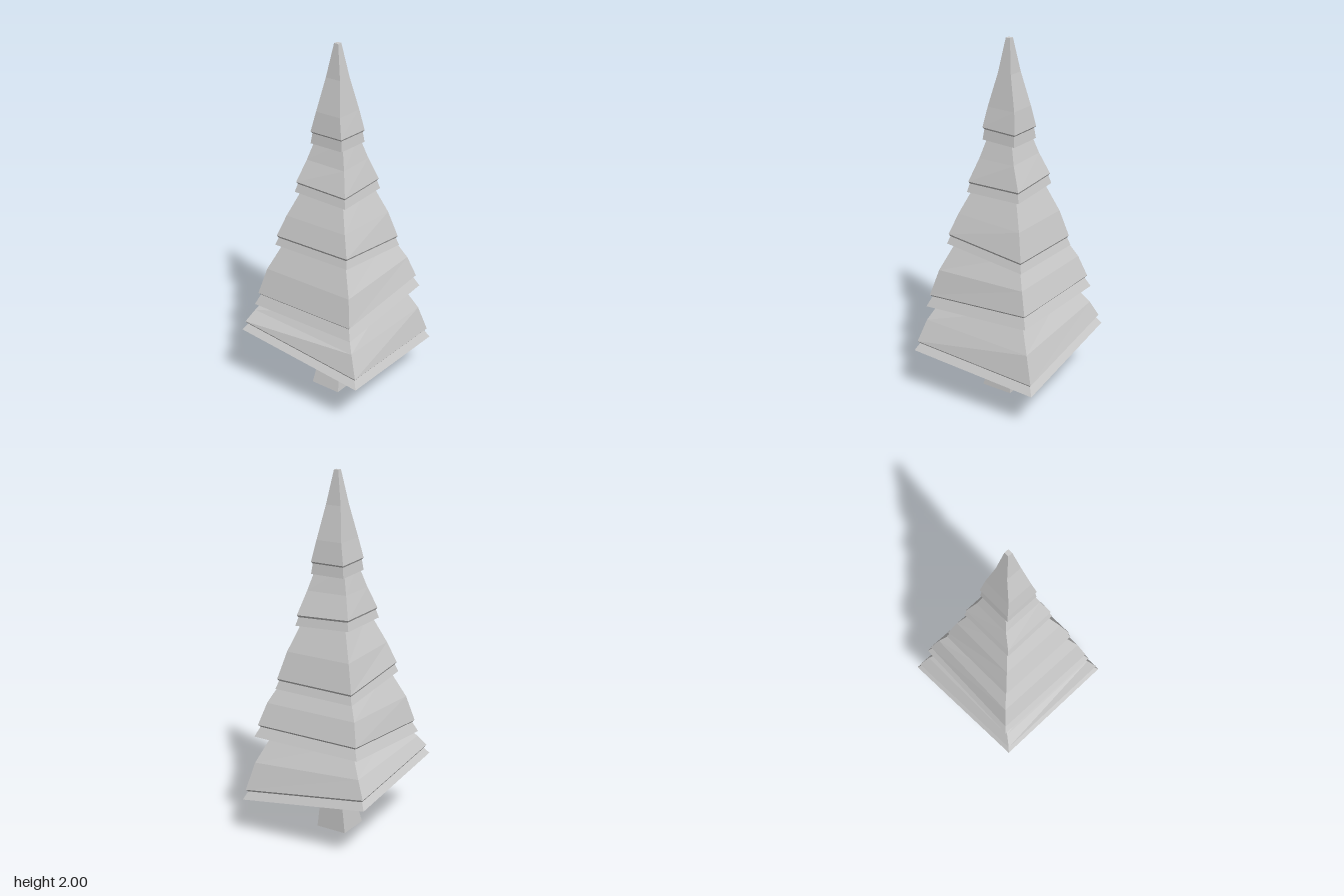
import * as THREE from 'three';

const material = new THREE.MeshStandardMaterial({ color: 0xcccccc, flatShading: true });

// Skins a stack of four-cornered rings, closing both ends.
function loft(name, rings) {
  const positions = [];
  const quad = (a, b, c, d) => {
    for (const p of [a, b, c, a, c, d]) positions.push(...p);
  };
  for (let i = 0; i < rings.length - 1; i++) {
    const lo = rings[i], hi = rings[i + 1];
    for (let k = 0; k < 4; k++) {
      const n = (k + 1) % 4;
      quad(lo[k], lo[n], hi[n], hi[k]);
    }
  }
  const bottom = rings[0], top = rings[rings.length - 1];
  quad(bottom[3], bottom[2], bottom[1], bottom[0]);
  quad(top[0], top[1], top[2], top[3]);
  const geometry = new THREE.BufferGeometry();
  geometry.setAttribute('position', new THREE.Float32BufferAttribute(positions, 3));
  geometry.computeVertexNormals();
  const mesh = new THREE.Mesh(geometry, material);
  mesh.name = name;
  return mesh;
}

// A rectangular ring, turned about y and sloped along x and z.
function ring(hx, hz, y, { cx = 0, cz = 0, yaw = 0, sx = 0, sz = 0 } = {}) {
  const c = Math.cos(yaw), s = Math.sin(yaw);
  return [[-1, 1], [1, 1], [1, -1], [-1, -1]].map(([u, v]) => {
    const x = u * hx * c + v * hz * s;
    const z = v * hz * c - u * hx * s;
    return [cx + x, y + sx * x + sz * z, cz + z];
  });
}

// Rings are [halfX, halfZ, y, share of the tier's slope], bottom to top:
// lip bottom, lip top, overhanging skirt edge, then the tapering body.
const tiers = [
  { name: 'bottomTier', yaw: 0.038, sx: -0.14, sz: 0.08, rings: [
    [0.378, 0.378, 0.30, 1], [0.355, 0.355, 0.34, 1], [0.365, 0.365, 0.353, 1],
    [0.325, 0.325, 0.46, 0.5], [0.235, 0.235, 0.62, 0]] },
  { name: 'secondTier', yaw: 0, sx: 0, sz: -0.07, rings: [
    [0.325, 0.325, 0.55, 1], [0.3, 0.3, 0.606, 1], [0.31, 0.31, 0.617, 1],
    [0.275, 0.27, 0.75, 0.5], [0.2, 0.2, 0.91, 0]] },
  { name: 'thirdTier', yaw: 0, sx: 0.01, sz: 0.115, rings: [
    [0.24, 0.24, 0.862, 1], [0.226, 0.226, 0.905, 1], [0.233, 0.233, 0.917, 1],
    [0.193, 0.195, 1.05, 0.4], [0.12, 0.12, 1.24, 0]] },
  { name: 'fourthTier', yaw: 0.03, sx: -0.045, sz: 0, rings: [
    [0.162, 0.162, 1.19, 1], [0.15, 0.15, 1.236, 1], [0.156, 0.156, 1.247, 1],
    [0.12, 0.108, 1.37, 0.4], [0.084, 0.07, 1.5, 0]] },
  { name: 'topTier', yaw: 0, sx: 0, sz: 0.04, rings: [
    [0.1, 0.1, 1.462, 1], [0.093, 0.093, 1.518, 1], [0.099, 0.101, 1.528, 1],
    [0.076, 0.083, 1.64, 0.4], [0.045, 0.04, 1.82, 0], [0.013, 0.013, 2, 0]] },
];

export function createModel() {
  const tree = new THREE.Group();
  tree.name = 'tree';

  // Crooked square trunk
  tree.add(loft('trunk', [
    ring(0.09, 0.092, 0, { cz: 0.025 }),
    ring(0.071, 0.067, 0.165, { cz: 0.003 }),
    ring(0.071, 0.072, 0.22, { cz: 0.02 }),
    ring(0.085, 0.072, 0.38, { cz: 0.024 }),
  ]));

  // Overlapping tiers of branches
  for (const { name, yaw, sx, sz, rings } of tiers) {
    tree.add(loft(name, rings.map(([hx, hz, y, f]) =>
      ring(hx, hz, y, { yaw: yaw * f, sx: sx * f, sz: sz * f }))));
  }
  return tree;
}
